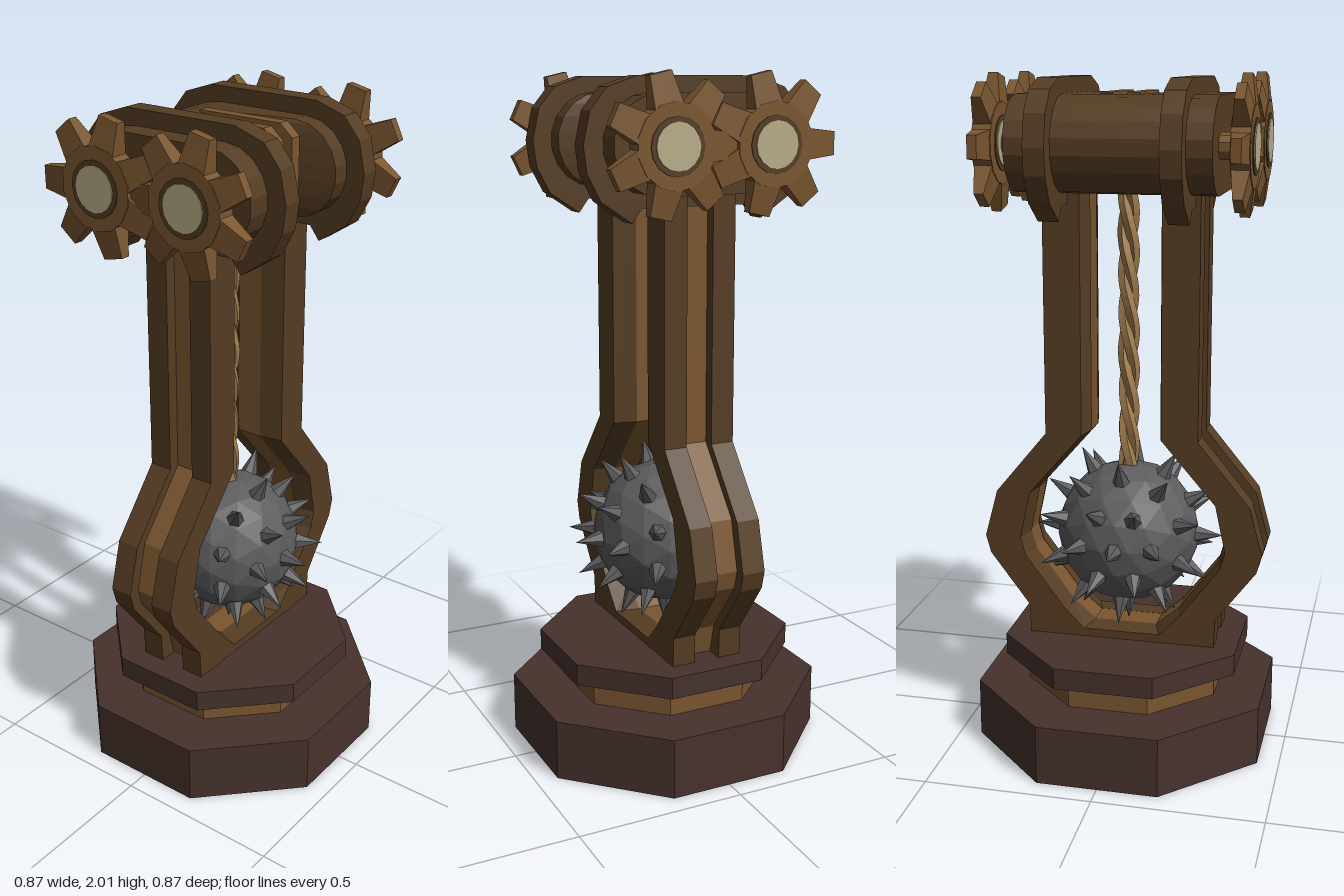
import * as THREE from 'three';

const mat = (name, color) => {
  const m = new THREE.MeshStandardMaterial({ color, flatShading: true });
  m.name = name;
  return m;
};

// Skin a list of equal-sized convex rings and close both ends.
function loft(rings) {
  const pos = [];
  const tri = (...p) => p.forEach(v => pos.push(v.x, v.y, v.z));
  const n = rings[0].length;
  for (let i = 0; i + 1 < rings.length; i++) {
    for (let j = 0; j < n; j++) {
      const a = rings[i][j], b = rings[i][(j + 1) % n];
      const c = rings[i + 1][(j + 1) % n], d = rings[i + 1][j];
      tri(a, b, c);
      tri(a, c, d);
    }
  }
  const first = rings[0], last = rings[rings.length - 1];
  for (let j = 1; j + 1 < n; j++) {
    tri(first[0], first[j + 1], first[j]);
    tri(last[0], last[j], last[j + 1]);
  }
  const g = new THREE.BufferGeometry();
  g.setAttribute('position', new THREE.Float32BufferAttribute(pos, 3));
  g.computeVertexNormals();
  return g;
}

// Extrude an [x, y] outline between two z positions.
function slab(points, z0, z1) {
  const shape = new THREE.Shape(points.map(p => new THREE.Vector2(...p)));
  return new THREE.ExtrudeGeometry(shape, { depth: z1 - z0, bevelEnabled: false }).translate(0, 0, z0);
}

export function createModel() {
  const root = new THREE.Group();
  root.name = 'spikedBallWinch';
  const base = mat('dark base wood', 0x46322c);
  const dark = mat('brown wood', 0x553d23);
  const light = mat('light brown wood', 0x7a5630);
  const iron = mat('iron', 0x5c5b5d);
  const cream = mat('pale hub', 0xb9ae8a);
  const fibre = mat('rope fibre', 0xa47e50);
  const add = (name, geo, material, parent = root) => {
    const m = new THREE.Mesh(geo, material);
    m.name = name;
    parent.add(m);
    return m;
  };

  // Octagonal stepped base
  const octagon = (name, apothem, y0, y1, material) => {
    const r = apothem / Math.cos(Math.PI / 8);
    add(name, new THREE.CylinderGeometry(r, r, y1 - y0, 8).rotateY(Math.PI / 8).translate(0, (y0 + y1) / 2, 0), material);
  };
  octagon('basePlinth', 0.435, 0, 0.18, base);
  octagon('baseCollar', 0.29, 0.18, 0.265, light);
  octagon('basePlate', 0.355, 0.265, 0.33, base);

  // U-shaped frame: [inner z, inner y, outer z, outer y], swept down one arm and up the other
  const arm = [
    [0.105, 1.72, 0.23, 1.72], [0.105, 0.97, 0.23, 0.97], [0.27, 0.78, 0.386, 0.78],
    [0.30, 0.635, 0.425, 0.635], [0.285, 0.58, 0.41, 0.58], [0.165, 0.42, 0.29, 0.42],
    [0.095, 0.36, 0.285, 0.32],
  ];
  const stations = [...arm, ...arm.map(([a, b, c, d]) => [-a, b, -c, d]).reverse()];
  const sweep = section => loft(stations.map(([zi, yi, zo, yo]) => section.map(([x, s]) =>
    new THREE.Vector3(x, yi + (yo - yi) * s, zi + (zo - zi) * s))));
  add('frameRailLeft', sweep([[0.11, 0.12], [0.11, 1], [0.04, 1], [0.04, 0]]), dark);
  add('frameRailRight', sweep([[-0.04, 0], [-0.04, 1], [-0.11, 1], [-0.11, 0.12]]), dark);
  add('frameCore', sweep([[0.04, 0.01], [0.04, 0.72], [-0.04, 0.72], [-0.04, 0.01]]), light);

  // Drum housing with a wedge-shaped opening on its left side
  const stadium = (z, right) => {
    const ring = [];
    for (let i = 0; i < 20; i++) {
      const a = -Math.PI / 2 + (i < 10 ? i : i - 1) * Math.PI / 9;
      ring.push(new THREE.Vector3((i < 10 ? right : -0.15) + 0.135 * Math.cos(a), 1.82 + 0.135 * Math.sin(a), z));
    }
    return ring;
  };
  add('drumHousing', loft([
    stadium(-0.287, 0.15), stadium(-0.1, 0.15), stadium(-0.055, -0.12),
    stadium(0.055, -0.12), stadium(0.1, 0.15), stadium(0.287, 0.15),
  ]), dark);

  // Hood bands around the housing
  const half = [[0.17, 1.65], [0.2, 1.61], [0.29, 1.67], [0.33, 1.745], [0.34, 1.82], [0.32, 1.91], [0.27, 1.97], [0.18, 2.0]];
  const band = [...half, ...half.map(([x, y]) => [-x, y]).reverse()];
  add('frontBand', slab(band, 0.155, 0.215), dark);
  add('backBand', slab(band, -0.215, -0.155), dark);

  // Pulley cheeks and the core between them
  const block = (x0, x1, y0, y1) => [
    [x0, y0], [x1 - 0.04, y0], [x1, y0 + 0.035], [x1, y1 - 0.035], [x1 - 0.04, y1], [x0, y1],
  ];
  for (const z of [-0.055, 0.02]) add('pulleyCheek', slab(block(-0.115, 0.195, 1.685, 1.96), z, z + 0.035), light);
  add('pulleyCore', slab(block(-0.1, 0.145, 1.70, 1.94), -0.021, 0.021), light);

  // Gears on short axles, two at each end
  const tooth = new THREE.BoxGeometry(0.085, 0.095, 0.055);
  const p = tooth.attributes.position;
  for (let i = 0; i < p.count; i++) {
    if (p.getY(i) > 0) p.setXYZ(i, p.getX(i) * 0.75, p.getY(i), p.getZ(i) * 0.5);
  }
  tooth.translate(0, 0.1425, 0);
  tooth.computeVertexNormals();
  const disc = (r, length, sides = 16) => new THREE.CylinderGeometry(r, r, length, sides).rotateX(Math.PI / 2);
  for (const side of [1, -1]) {
    for (const x of [-0.147, 0.147]) {
      const gear = new THREE.Group();
      gear.name = side > 0 ? 'frontGear' : 'backGear';
      gear.position.set(x, 1.82, side * 0.356);
      root.add(gear);
      add('gearDisc', disc(0.115, 0.055, 14), light, gear);
      for (let i = 0; i < 7; i++) {
        add('gearTooth', tooth, light, gear).rotation.z = Math.PI / 2 + i * Math.PI * 2 / 7;
      }
      add('hubRing', disc(0.078, 0.061), dark, gear);
      add('hubCap', disc(0.064, 0.067), cream, gear);
      add('axle', disc(0.037, 0.1, 10).translate(0, 0, -side * 0.05), light, gear);
    }
  }

  // Twisted rope
  for (let k = 0; k < 3; k++) {
    const pts = [];
    for (let i = 0; i <= 24; i++) {
      const a = k * Math.PI * 2 / 3 + i / 24 * Math.PI * 5;
      pts.push(new THREE.Vector3(0.015 * Math.cos(a), 0.84 + 0.88 * i / 24, 0.015 * Math.sin(a)));
    }
    add('ropeStrand', new THREE.TubeGeometry(new THREE.CatmullRomCurve3(pts), 36, 0.018, 5), fibre);
  }

  // Spiked ball: spikes stand in rings around the x axis
  const ball = new THREE.Group();
  ball.name = 'spikedBall';
  ball.position.y = 0.65;
  root.add(ball);
  add('ballCore', new THREE.IcosahedronGeometry(0.217, 2), iron, ball);
  const spike = new THREE.ConeGeometry(0.032, 0.1, 6).translate(0, 0.242, 0);
  const up = new THREE.Vector3(0, 1, 0);
  for (const [angle, count] of [[0, 1], [30, 6], [60, 10], [90, 12], [120, 10], [150, 6], [180, 1]]) {
    const t = THREE.MathUtils.degToRad(angle);
    for (let i = 0; i < count; i++) {
      const a = i * Math.PI * 2 / count + (count === 10 ? Math.PI / 2 : 0);
      const dir = new THREE.Vector3(Math.cos(t), Math.sin(t) * Math.sin(a), Math.sin(t) * Math.cos(a));
      add('spike', spike, iron, ball).quaternion.setFromUnitVectors(up, dir);
    }
  }
  return root;
}
